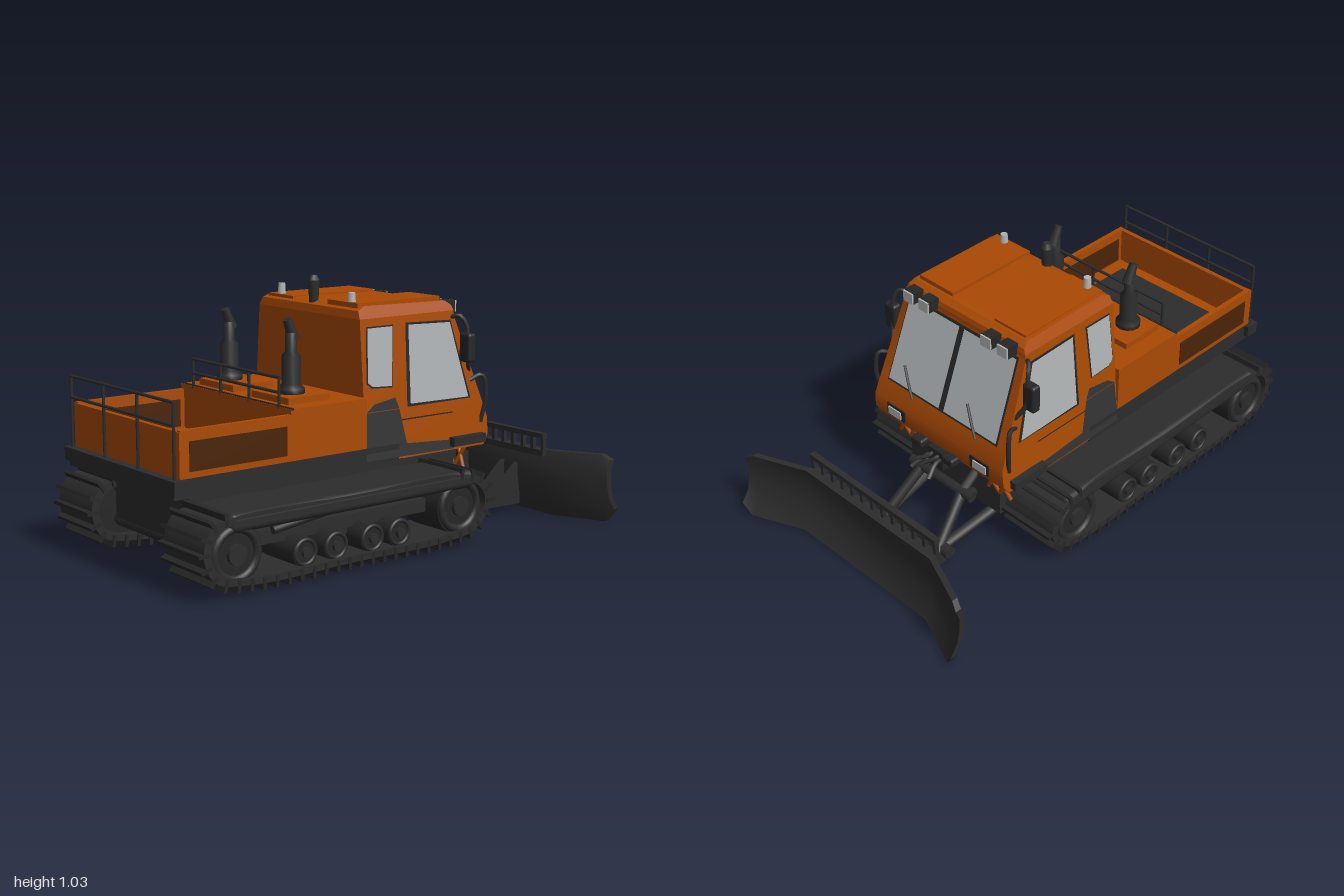
import * as THREE from 'three';
import { mergeGeometries, toCreasedNormals } from 'three/addons/utils/BufferGeometryUtils.js';
import { RoundedBoxGeometry } from 'three/addons/geometries/RoundedBoxGeometry.js';

const paint = (name, color) => new THREE.MeshStandardMaterial({ name, color, side: THREE.DoubleSide });
const V = (x, y, z) => new THREE.Vector3(x, y, z);

export function createModel() {
  const model = new THREE.Group();
  model.name = 'trackedPlough';
  const orange = paint('orangePaint', 0xaa4a04);
  const dark = paint('darkMetal', 0x2c2c2c);
  const trim = paint('greyTrim', 0x343434);
  const black = paint('blackRubber', 0x262626);
  const glass = paint('glass', 0xb0b4b6);
  const lens = paint('lampLens', 0xb4b6b6);
  const grille = paint('brownGrille', 0x4a2408);

  const add = (name, geo, mat) => {
    const m = new THREE.Mesh(geo, mat);
    m.name = name;
    model.add(m);
  };
  const boxGeo = (x0, x1, y0, y1, z0, z1) => new THREE.BoxGeometry(x1 - x0, y1 - y0, z1 - z0)
    .translate((x0 + x1) / 2, (y0 + y1) / 2, (z0 + z1) / 2);
  const box = (name, mat, ...b) => add(name, boxGeo(...b), mat);
  const rodGeo = (a, b, r, r2 = r) => {
    const d = b.clone().sub(a);
    return new THREE.CylinderGeometry(r2, r, d.length(), 10)
      .applyQuaternion(new THREE.Quaternion().setFromUnitVectors(V(0, 1, 0), d.clone().normalize()))
      .translate((a.x + b.x) / 2, (a.y + b.y) / 2, (a.z + b.z) / 2);
  };
  const rod = (name, mat, a, b, r, r2) => add(name, rodGeo(a, b, r, r2), mat);
  const tube = (name, pts, r) => add(name, new THREE.TubeGeometry(
    new THREE.CatmullRomCurve3(pts, false, 'centripetal'), 16, r, 6), dark);
  const shape = pts => new THREE.Shape(pts.map(p => new THREE.Vector2(p[0], p[1])));

  // Joins closed rings of points and caps both ends
  const loft = rings => {
    const pos = [], n = rings[0].length;
    const tri = (...ps) => ps.forEach(p => pos.push(p.x, p.y, p.z));
    for (let i = 0; i < rings.length - 1; i++) for (let j = 0; j < n; j++) {
      const k = (j + 1) % n, a = rings[i], b = rings[i + 1];
      tri(a[j], a[k], b[k]);
      tri(a[j], b[k], b[j]);
    }
    const first = rings[0], last = rings[rings.length - 1];
    for (let j = 0; j < n / 2 - 1; j++) {
      const o = n - 1 - j;
      tri(first[j], first[o], first[o - 1]);
      tri(first[j], first[o - 1], first[j + 1]);
      tri(last[j], last[o - 1], last[o]);
      tri(last[j], last[j + 1], last[o - 1]);
    }
    const g = new THREE.BufferGeometry();
    g.setAttribute('position', new THREE.Float32BufferAttribute(pos, 3));
    return toCreasedNormals(g, 0.5);
  };

  // Tracks: belt, smooth upper cover, cleats and wheels on each side
  const path = [[-0.965, 0.18], [-0.93, 0.27], [-0.84, 0.295], [-0.3, 0.295], [0.22, 0.295], [0.33, 0.26],
    [0.37, 0.17], [0.3, 0.075], [0.16, 0.045], [-0.3, 0.045], [-0.76, 0.045], [-0.92, 0.08]];
  const curve = new THREE.CatmullRomCurve3(path.map(p => V(p[0], p[1], 0)), true, 'centripetal');
  const loop = curve.getPoints(96);
  const belt = shape(loop.map(p => [p.x, p.y]));
  belt.holes.push(new THREE.Path(loop.map(p => new THREE.Vector2(-0.29 + (p.x + 0.29) * 0.955, 0.175 + (p.y - 0.175) * 0.8))));
  const beltGeo = toCreasedNormals(new THREE.ExtrudeGeometry(belt, { depth: 0.25, bevelEnabled: false }), 0.6);
  const cleats = [];
  for (let i = 0; i < 54; i++) {
    const p = curve.getPointAt(i / 54), t = curve.getTangentAt(i / 54);
    if (p.y > 0.28 && p.x > -0.86 && p.x < 0.2) continue;
    cleats.push(new THREE.BoxGeometry(0.014, 0.046, 0.26)
      .rotateZ(Math.atan2(t.y, t.x)).translate(p.x, p.y, 0));
  }
  const cleatGeo = mergeGeometries(cleats);
  const wheel = (name, x, y, r, s) => {
    const at = g => g.translate(x, y, s * 0.48);
    add(name, at(new THREE.CylinderGeometry(r, r, 0.2, 28).rotateX(Math.PI / 2).translate(0, 0, -s * 0.1)), black);
    add(name + 'Rim', at(new THREE.TorusGeometry(r * 0.82, r * 0.14, 8, 28)), dark);
    add(name + 'Hub', at(new THREE.CylinderGeometry(r * 0.35, r * 0.35, 0.03, 12).rotateX(Math.PI / 2)), dark);
  };
  for (const s of [1, -1]) {
    add('trackBelt', beltGeo.clone().translate(0, 0, s > 0 ? 0.25 : -0.5), dark);
    add('trackCleats', cleatGeo.clone().translate(0, 0, s * 0.372), black);
    add('trackCover', new RoundedBoxGeometry(1.14, 0.07, 0.25, 3, 0.025).translate(-0.28, 0.27, s * 0.376), dark);
    wheel('rearWheel', -0.82, 0.16, 0.11, s);
    wheel('driveWheel', 0.22, 0.17, 0.11, s);
    for (const x of [-0.52, -0.38, -0.21, -0.08]) wheel('roadWheel', x, 0.115, 0.055, s);
    box('trackBeam', dark, -0.72, 0.12, 0.15, 0.2, s * 0.35 - 0.06, s * 0.35 + 0.06);
    rod('trackStrut', dark, V(-0.62, 0.2, s * 0.42), V(-0.3, 0.24, s * 0.42), 0.015);
  }

  // Chassis, belly and axles
  box('belly', dark, -0.86, 0.4, 0.15, 0.36, -0.25, 0.25);
  for (const x of [-0.82, -0.52, -0.3, -0.08, 0.22]) rod('axle', dark, V(x, 0.14, -0.4), V(x, 0.14, 0.4), 0.035);
  box('chassis', dark, -0.99, 0.02, 0.35, 0.42, -0.36, 0.36);
  box('rearBumper', dark, -1, -0.94, 0.37, 0.42, -0.38, 0.38);

  // Cargo bed with thin walls, side grilles and a dark floor panel
  box('bedFloor', orange, -0.96, -0.49, 0.42, 0.435, -0.36, 0.36);
  box('floorPanel', dark, -0.89, -0.56, 0.435, 0.442, -0.28, 0.28);
  box('rearWall', orange, -0.965, -0.945, 0.42, 0.585, -0.36, 0.36);
  box('engineCover', orange, -0.49, -0.14, 0.42, 0.61, -0.36, 0.36);
  box('coverSeam', black, -0.488, -0.478, 0.605, 0.613, -0.36, 0.36);
  for (const s of [1, -1]) {
    box('sideWall', orange, -0.96, -0.49, 0.42, 0.59, s * 0.35 - 0.01, s * 0.35 + 0.01);
    box('sideGrille', grille, -0.925, -0.51, 0.443, 0.55, s * 0.35 - 0.013, s * 0.35 + 0.013);
    box('exhaustBase', orange, -0.45, -0.26, 0.61, 0.635, s * 0.175 - 0.115, s * 0.175 + 0.115);
    const z = s * 0.2, x = -0.37;
    add('exhaust', new THREE.LatheGeometry([[0, 0.63], [0.05, 0.63], [0.05, 0.655], [0.036, 0.67], [0.036, 0.775], [0.022, 0.79],
      [0.022, 0.86], [0, 0.86]].map(p => new THREE.Vector2(...p)), 14).translate(x, 0, z), dark);
    rod('exhaustTip', dark, V(x + 0.012, 0.835, z), V(x - 0.018, 0.91, z), 0.024, 0.016);
  }

  // Railings behind and ahead of the bed
  const railing = (x, y0, y1, half, levels) => {
    const bars = [-1, -0.33, 0.33, 1].map(f => rodGeo(V(x, y0, f * half), V(x, y1, f * half), 0.006));
    levels.forEach(y => bars.push(rodGeo(V(x, y, -half), V(x, y, half), 0.006)));
    add('railing', mergeGeometries(bars), dark);
  };
  railing(-0.98, 0.41, 0.69, 0.35, [0.69, 0.61]);
  railing(-0.485, 0.6, 0.715, 0.28, [0.715, 0.66]);

  // Cab: lower, upper and roof shells, each tapering at its own rate
  const halfWidth = y => 0.36 - (Math.min(y, 0.55) - 0.36) * 0.08
    - Math.max(0, Math.min(y, 0.9) - 0.55) * 0.08 - Math.max(0, y - 0.9) * 0.5;
  const shell = (name, pts) => {
    const g = new THREE.ExtrudeGeometry(shape(pts), { depth: 2, bevelEnabled: false }).translate(0, 0, -1);
    const p = g.attributes.position;
    for (let i = 0; i < p.count; i++) p.setZ(i, p.getZ(i) * halfWidth(p.getY(i)));
    add(name, toCreasedNormals(g, 0.6), orange);
  };
  shell('cabLower', [[-0.14, 0.37], [0.05, 0.36], [0.46, 0.36], [0.485, 0.4], [0.485, 0.47], [0.455, 0.55], [-0.14, 0.55]]);
  shell('cabUpper', [[-0.14, 0.55], [0.455, 0.55], [0.33, 0.88], [0.33, 0.9], [-0.14, 0.9]]);
  shell('cabRoof', [[-0.14, 0.9], [0.33, 0.9], [0.325, 0.92], [0.3, 0.938], [-0.1, 0.945], [-0.135, 0.93]]);
  box('roofHatch', orange, -0.12, 0.29, 0.93, 0.955, 0.1, 0.28);
  box('roofRidge', orange, -0.12, 0.29, 0.93, 0.948, -0.28, -0.12);

  // Thin plates on the cab sides, facing outward on both
  const sidePlate = (name, pts, mat, lift) => {
    for (const s of [1, -1]) {
      const g = new THREE.ShapeGeometry(shape(pts)), p = g.attributes.position;
      for (let i = 0; i < p.count; i++) p.setZ(i, s * (halfWidth(p.getY(i)) + lift));
      if (s < 0) g.index.array.reverse();
      g.computeVertexNormals();
      add(name, g, mat);
    }
  };
  sidePlate('doorFrame', [[0.07, 0.553], [0.397, 0.553], [0.308, 0.865], [0.078, 0.872]], black, 0.003);
  sidePlate('doorWindow', [[0.085, 0.564], [0.384, 0.559], [0.302, 0.857], [0.09, 0.864]], glass, 0.006);
  sidePlate('rearWindowFrame', [[-0.125, 0.66], [-0.1, 0.64], [0, 0.635], [0.018, 0.87], [-0.115, 0.87]], black, 0.003);
  sidePlate('rearWindow', [[-0.12, 0.663], [-0.097, 0.646], [-0.004, 0.641], [0.012, 0.865], [-0.11, 0.865]], glass, 0.006);
  sidePlate('lowerTrim', [[-0.14, 0.37], [0.3, 0.365], [0.3, 0.4], [0.06, 0.415], [0.03, 0.55], [-0.13, 0.55]], trim, 0.003);
  sidePlate('upperTrim', [[-0.13, 0.552], [0.03, 0.552], [0.012, 0.595], [-0.09, 0.58]], trim, 0.003);
  sidePlate('doorSeam', [[0.04, 0.505], [0.3, 0.505], [0.3, 0.51], [0.04, 0.51]], black, 0.004);

  // Windscreen plates on the sloping cab front, given as (z, y)
  const screen = (name, pts, mat, lift) => {
    const g = new THREE.ShapeGeometry(shape(pts)), p = g.attributes.position;
    for (let i = 0; i < p.count; i++) {
      const y = p.getY(i);
      p.setXYZ(i, 0.455 - (y - 0.55) * 0.379 + lift, y, -p.getX(i));
    }
    g.computeVertexNormals();
    add(name, g, mat);
  };
  screen('windscreenFrame', [[-0.3, 0.545], [0.3, 0.545], [0.29, 0.88], [-0.29, 0.88]], black, 0.004);
  for (const s of [1, -1]) {
    screen('windscreen', [[s * 0.013, 0.555], [s * 0.293, 0.555], [s * 0.284, 0.872], [s * 0.013, 0.872]], glass, 0.008);
    const wz = s > 0 ? 0 : -0.345;
    tube('wiper', [V(0.475, 0.535, 0.145 + wz), V(0.465, 0.57, 0.17 + wz), V(0.44, 0.64, 0.22 + wz)], 0.006);

    // Lamps, mirrors, grab rails and steps
    box('headlampFrame', black, 0.47, 0.489, 0.405, 0.457, s * 0.23 - 0.05, s * 0.23 + 0.05);
    box('headlamp', lens, 0.485, 0.494, 0.412, 0.446, s * 0.235 - 0.035, s * 0.235 + 0.035);
    for (const z of [0.165, 0.25]) {
      box('roofLamp', black, 0.325, 0.375, 0.885, 0.932, s * z - 0.026, s * z + 0.026);
      box('roofLampLens', lens, 0.375, 0.382, 0.886, 0.931, s * z - 0.025, s * z + 0.025);
    }
    rod('beacon', lens, V(-0.1, 0.94, s * 0.22), V(-0.1, 0.99, s * 0.22), 0.017, 0.014);
    tube('mirrorArm', [V(0.31, 0.87, s * 0.3), V(0.34, 0.88, s * 0.345), V(0.36, 0.84, s * 0.36),
      V(0.37, 0.72, s * 0.36), V(0.4, 0.66, s * 0.33)], 0.009);
    add('mirror', new RoundedBoxGeometry(0.04, 0.115, 0.06, 2, 0.012).translate(0.355, 0.758, s * 0.372), black);
    tube('grabRail', [V(0.4, 0.62, s * 0.335), V(0.45, 0.64, s * 0.357), V(0.465, 0.56, s * 0.364), V(0.45, 0.45, s * 0.35)], 0.009);
    box('step', dark, 0.28, 0.45, 0.375, 0.41, s * 0.365 - 0.02, s * 0.365 + 0.02);
    add('towBlock', new RoundedBoxGeometry(0.06, 0.036, 0.06, 2, 0.01).translate(0.49, 0.383, s * 0.085), black);
    tube('hose', [V(0.44, 0.33, s * 0.03), V(0.52, 0.35, s * 0.03), V(0.58, 0.32, s * 0.05)], 0.01);
    tube('hose', [V(0.44, 0.37, s * 0.02), V(0.52, 0.36, s * 0.015), V(0.58, 0.38, s * 0.02)], 0.008);

    // Orange braces under the cab nose
    for (const [z0, z1] of [[0.19, 0.25], [0.25, 0.19], [0.25, 0.31], [0.31, 0.25]])
      rod('noseBrace', orange, V(0.4, 0.26, s * z0), V(0.42, 0.365, s * z1), 0.008);
  }
  box('frontBracket', black, 0.4, 0.5, 0.3, 0.385, -0.04, 0.04);
  rod('snorkel', dark, V(-0.11, 0.93, 0), V(-0.11, 1.02, 0), 0.018, 0.024);
  rod('snorkelCap', dark, V(-0.11, 1.02, 0), V(-0.11, 1.04, 0), 0.024, 0.014);

  // Push frame for the plough
  for (const s of [1, -1]) {
    rod('pushArm', dark, V(0.3, 0.12, s * 0.18), V(0.65, 0.055, s * 0.15), 0.022);
    rod('liftRam', dark, V(0.36, 0.3, s * 0.11), V(0.47, 0.22, s * 0.11), 0.02);
    rod('liftStrut', dark, V(0.46, 0.23, s * 0.11), V(0.64, 0.055, s * 0.15), 0.022);
    rod('lowerStrut', dark, V(0.33, 0.13, s * 0.11), V(0.47, 0.23, s * 0.11), 0.016);
    for (const z of [0.11, 0.19]) {
      add('bladeGusset', new THREE.ExtrudeGeometry(shape([[0.64, 0.035], [0.83, 0.03], [0.83, 0.22], [0.79, 0.19], [0.66, 0.075]]),
        { depth: 0.02, bevelEnabled: false }).translate(0, 0, s * z - 0.01), dark);
    }
  }
  rod('crossTube', dark, V(0.62, 0.06, -0.2), V(0.62, 0.06, 0.2), 0.025);
  rod('upperCrossTube', dark, V(0.47, 0.225, -0.17), V(0.47, 0.225, 0.17), 0.02);

  // Curved blade with angled wings and clipped corners
  const profile = [[0.07, 0], [0.035, 0.25], [0.02, 0.55], [0.02, 0.8], [0.035, 1]];
  const section = (z, x, y0, y1) => {
    const at = back => profile.map(([px, t]) => V(x + px - back, y0 + t * (y1 - y0), z));
    return [...at(0), ...at(0.025).reverse()];
  };
  add('blade', loft([section(-0.6, 0.928, 0.06, 0.27), section(-0.565, 0.912, 0.005, 0.29), section(-0.35, 0.82, 0.005, 0.285),
    section(0.35, 0.82, 0.005, 0.285), section(0.565, 0.912, 0.005, 0.29), section(0.6, 0.928, 0.06, 0.27)]), dark);
  const guard = [boxGeo(0.805, 0.83, 0.335, 0.355, -0.35, 0.35), boxGeo(0.805, 0.85, 0.26, 0.285, -0.35, 0.35)];
  for (let i = 0; i <= 12; i++) {
    const z = -0.343 + i * 0.0572;
    guard.push(boxGeo(0.808, 0.826, 0.26, 0.345, z - 0.007, z + 0.007));
  }
  add('bladeGuard', mergeGeometries(guard), dark);
  return model;
}
